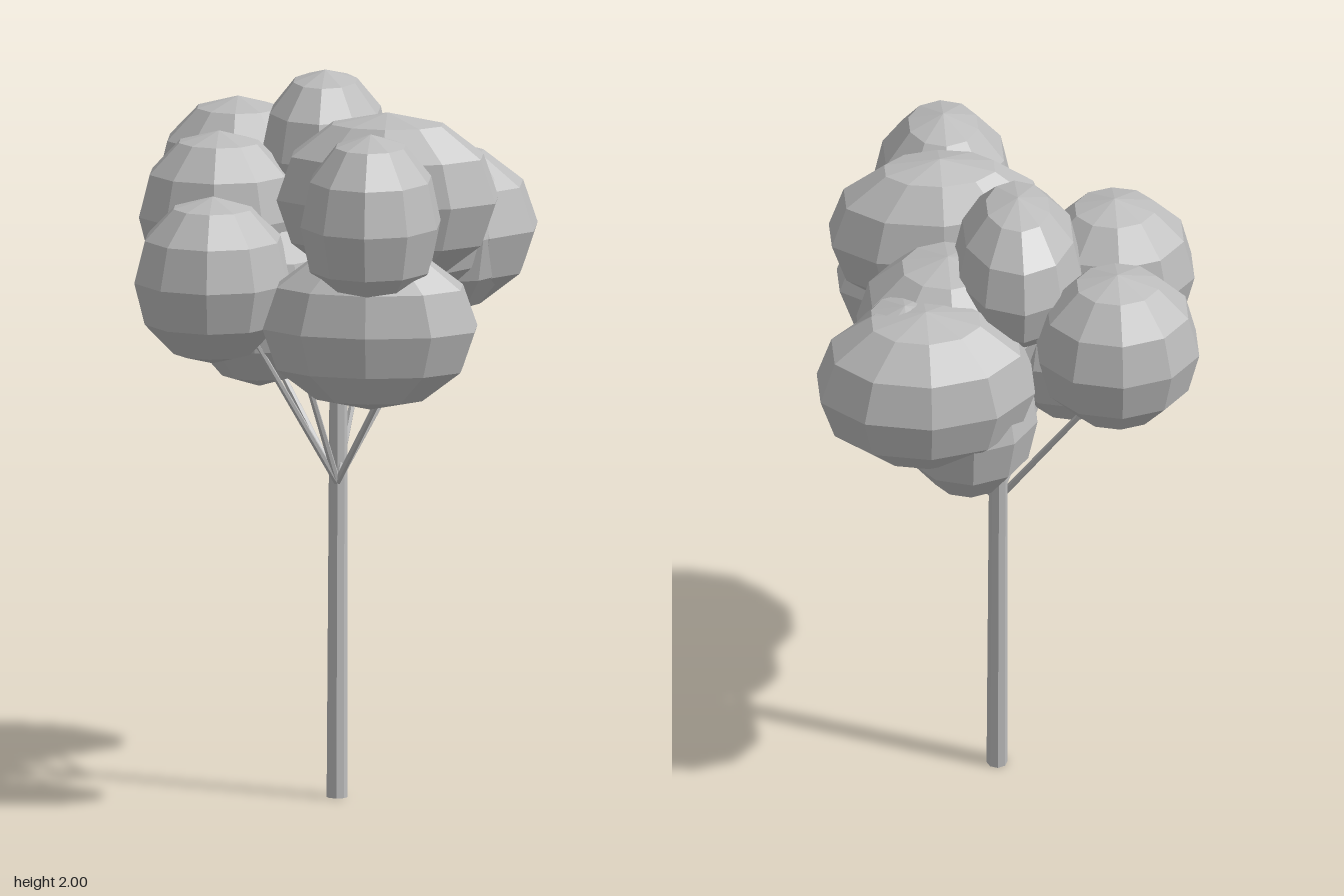
import * as THREE from 'three';

export function createModel() {
  const tree = new THREE.Group();
  tree.name = 'tree';

  const grey = new THREE.MeshStandardMaterial({ color: 0xbcbcbc, flatShading: true });
  grey.name = 'plain grey';

  // Tapered straight limb between two points
  function limb(name, from, to, r0, r1, sides) {
    const a = new THREE.Vector3(...from);
    const b = new THREE.Vector3(...to);
    const dir = b.clone().sub(a);
    const mesh = new THREE.Mesh(new THREE.CylinderGeometry(r1, r0, dir.length(), sides), grey);
    mesh.position.copy(a).add(b).multiplyScalar(0.5);
    mesh.quaternion.setFromUnitVectors(new THREE.Vector3(0, 1, 0), dir.normalize());
    mesh.name = name;
    tree.add(mesh);
  }

  // Slightly leaning trunk
  limb('trunk', [0.012, 0, -0.003], [0.012, 1.39, -0.06], 0.029, 0.024, 8);

  // Thin branches fanning out from one fork
  const branchTips = [
    [-0.23, 1.3, -0.17],
    [0.27, 1.35, -0.2],
    [0.22, 1.31, 0.18],
    [-0.2, 1.31, 0.19],
    [-0.1, 1.36, 0.2],
    [0.1, 1.4, -0.25],
  ];
  branchTips.forEach((tip, i) => limb(`branch${i + 1}`, [0.012, 0.88, -0.005], tip, 0.01, 0.008, 6));

  // Faceted foliage clumps: centre, then radii along x, y, z
  const clumps = [
    [[-0.29, 1.64, -0.38], [0.231, 0.24, 0.203]],
    [[0.235, 1.53, -0.36], [0.31, 0.24, 0.225]],
    [[0.29, 1.53, -0.32], [0.19, 0.235, 0.2]],
    [[0.132, 1.675, 0.358], [0.197, 0.25, 0.222]],
    [[0.16, 1.7, 0.122], [0.316, 0.24, 0.178]],
    [[0.13, 1.385, 0.352], [0.306, 0.23, 0.175]],
    [[-0.312, 1.625, 0.01], [0.226, 0.235, 0.197]],
    [[-0.315, 1.478, 0.19], [0.221, 0.233, 0.217]],
    [[-0.033, 1.775, -0.162], [0.179, 0.225, 0.247]],
    [[0.16, 1.58, -0.165], [0.258, 0.235, 0.23]],
    [[-0.2, 1.395, 0.02], [0.21, 0.245, 0.19]],
    [[0.115, 1.395, -0.313], [0.195, 0.25, 0.2]],
  ];
  // Ten sides with a corner facing the front
  const ball = new THREE.SphereGeometry(1, 10, 6);
  ball.rotateY(Math.PI / 2);
  clumps.forEach(([centre, radii], i) => {
    const mesh = new THREE.Mesh(ball, grey);
    mesh.position.set(...centre);
    mesh.scale.set(...radii);
    mesh.name = `foliage${i + 1}`;
    tree.add(mesh);
  });

  return tree;
}
